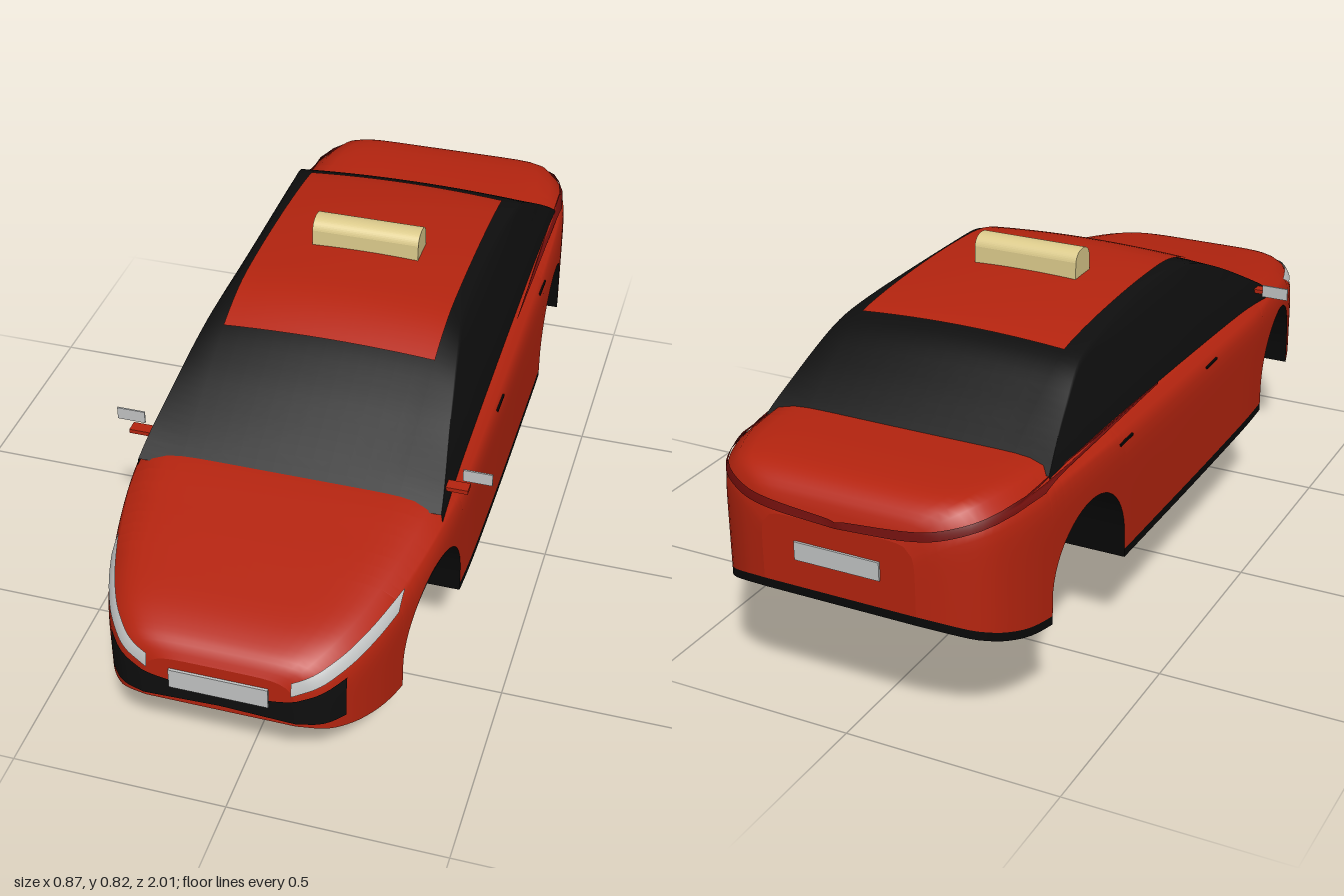
import * as THREE from 'three';

const mat = (name, color) => {
  const m = new THREE.MeshStandardMaterial({ color, side: THREE.DoubleSide });
  m.name = name;
  return m;
};

// Smooth interpolation through [position, value] pairs
function curve(p) {
  const slope = (i) => {
    const a = p[Math.max(i - 1, 0)], b = p[Math.min(i + 1, p.length - 1)];
    return (b[1] - a[1]) / (b[0] - a[0]);
  };
  return (v) => {
    if (v <= p[0][0]) return p[0][1];
    if (v >= p[p.length - 1][0]) return p[p.length - 1][1];
    let i = 0;
    while (p[i + 1][0] < v) i++;
    const d = p[i + 1][0] - p[i][0], t = (v - p[i][0]) / d, u = 1 - t;
    return p[i][1] * u * u * (1 + 2 * t) + slope(i) * d * t * u * u
      + p[i + 1][1] * t * t * (3 - 2 * t) - slope(i + 1) * d * t * t * u;
  };
}

// Body rules along z: half width, top line, floor line
const width = curve([[-1, 0.18], [-0.985, 0.235], [-0.95, 0.295], [-0.9, 0.33], [-0.8, 0.358], [-0.6, 0.376], [-0.2, 0.381],
  [0.2, 0.381], [0.4, 0.377], [0.6, 0.36], [0.8, 0.318], [0.9, 0.28], [0.96, 0.24], [0.985, 0.21], [1, 0.165]]);
const top = curve([[-1, 0.49], [-0.985, 0.535], [-0.95, 0.565], [-0.9, 0.577], [-0.8, 0.581], [-0.6, 0.576], [0, 0.56],
  [0.5, 0.542], [0.65, 0.523], [0.8, 0.5], [0.9, 0.482], [0.96, 0.462], [0.985, 0.445], [1, 0.42]]);
const floorLine = curve([[-1, 0.31], [-0.95, 0.28], [-0.85, 0.245], [-0.75, 0.23], [-0.7, 0.23],
  [0.7, 0.23], [0.76, 0.23], [0.85, 0.245], [0.95, 0.275], [1, 0.3]]);
const SHOULDER = 0.32, ARCH_R = 0.163, ARCH_Y = 0.286, ARCHES = [0.595, -0.594];

// Superelliptic shoulder, boxier towards the back
const box = (z) => Math.min(1, Math.max(0, (1 - z) / 0.6));
const powers = (z) => [6 + 4 * box(z), 4 + 4 * box(z)];
function halfWidth(z, y) {
  const [a, b] = powers(z), t = Math.max(0, (y - SHOULDER) / (top(z) - SHOULDER));
  return t >= 1 ? 0 : width(z) * Math.pow(1 - Math.pow(t, b), 1 / a);
}
function topAt(z, x) {
  const [a, b] = powers(z), t = Math.min(1, Math.abs(x) / width(z));
  return SHOULDER + (top(z) - SHOULDER) * Math.pow(1 - Math.pow(t, a), 1 / b);
}
function lowerEdge(z) {
  let y = floorLine(z);
  for (const c of ARCHES) {
    const d = Math.abs(z - c);
    if (d <= ARCH_R + 1e-6) y = Math.max(y, ARCH_Y + Math.sqrt(Math.max(0, ARCH_R ** 2 - d * d)));
  }
  return y;
}
const paintEdge = (z) => Math.max(lowerEdge(z), floorLine(z) + (z > 0.75 ? 0 : 0.02));

// Surface through equal-length rows of [x, y, z]
function grid(rows, flat = false) {
  const n = rows[0].length, index = [];
  for (let i = 0; i < rows.length - 1; i++) {
    for (let j = 0; j < n - 1; j++) {
      const a = i * n + j, b = a + n;
      index.push(a, a + 1, b, a + 1, b + 1, b);
    }
  }
  let g = new THREE.BufferGeometry();
  g.setAttribute('position', new THREE.Float32BufferAttribute(rows.flat(2), 3));
  g.setIndex(index);
  if (flat) g = g.toNonIndexed();
  g.computeVertexNormals();
  return g;
}
const mirrored = (half) => [...half, ...half.slice(0, -1).reverse().map(([x, y, z]) => [-x, y, z])];
const steps = (n, a, b) => Array.from({ length: n + 1 }, (_, i) => a + (b - a) * i / n);

function bodySection(z) {
  const y0 = paintEdge(z), y1 = SHOULDER + (top(z) - SHOULDER) * 0.85, x1 = halfWidth(z, y1);
  const side = steps(10, y0, y1).map((y) => [halfWidth(z, y), y, z]);
  const lid = steps(10, x1, 0).slice(1).map((x) => [x, topAt(z, x), z]);
  return mirrored([...side, ...lid]);
}

// Floor, wheel wells and sills in one section
function floorSection(z) {
  const w = width(z), xi = Math.min(0.2, w * 0.9), f = floorLine(z), e = lowerEdge(z), p = paintEdge(z);
  const half = [[w, p, z], [halfWidth(z, e), e, z], [xi, e, z], [xi, f, z]];
  return [...half.map(([x, y]) => [-x, y, z]), ...half.reverse()];
}

// Cabin rules
const roofLine = curve([[-0.73, 0.557], [-0.69, 0.59], [-0.6, 0.656], [-0.5, 0.717], [-0.4, 0.738], [-0.2, 0.752],
  [0, 0.753], [0.1, 0.744], [0.2, 0.712], [0.3, 0.663], [0.4, 0.606], [0.5, 0.546], [0.53, 0.528]]);
const cabinWidth = curve([[0.46, 0.36], [0.55, 0.344], [0.62, 0.322], [0.68, 0.302], [0.72, 0.283], [0.745, 0.258]]);
const lift = (z) => Math.min(1, Math.max(0, (roofLine(z) - 0.56) / 0.19));
const roofAt = (z, x) => roofLine(z) - 0.012 * lift(z) * (x / 0.25) ** 2;
function cabinSection(z) {
  const t = roofLine(z), yc = t - 0.032 * lift(z), ym = t - 0.018 * lift(z);
  const side = steps(8, top(z) - 0.06, yc).map((y) => [cabinWidth(y), y, z]);
  const lid = steps(6, 0.25, 0).map((x) => [x, roofAt(z, x), z]);
  return mirrored([...side, [cabinWidth(ym), ym, z], ...lid]);
}

// Thin plate laid on the nose (dir 1) or tail (dir -1), between two height curves
function decal(dir, xa, xb, low, high) {
  const zAt = (x, y) => {
    let a = 0.2, b = 1;
    if (Math.abs(x) <= halfWidth(dir, y)) return dir;
    for (let k = 0; k < 30; k++) {
      const m = (a + b) / 2;
      if (Math.abs(x) <= halfWidth(dir * m, y)) a = m; else b = m;
    }
    return dir * a;
  };
  const xs = dir > 0 ? steps(40, xb, xa) : steps(40, xa, xb);
  return grid(xs.map((x) => steps(8, low(Math.abs(x)), high(Math.abs(x)))
    .map((y) => [x * 1.01, y, zAt(x, y) + dir * 0.003])));
}

export function createModel() {
  const car = new THREE.Group();
  car.name = 'car';
  const red = mat('red paint', 0xb5240f), glass = mat('black glass', 0x0e0e0e), black = mat('black rubber', 0x080808);
  const silver = mat('silver', 0xc2c4c4), tail = mat('dark red lamp', 0x6e0d0a), cream = mat('cream', 0xdccb8c);
  const add = (name, geo, material, x = 0, y = 0, z = 0, parent = car) => {
    const m = new THREE.Mesh(geo, material);
    m.name = name;
    m.position.set(x, y, z);
    parent.add(m);
    return m;
  };

  // Body shell, with extra sections around the wheel arches
  const zs = steps(80, -Math.PI / 2, Math.PI / 2).map(Math.sin);
  for (const c of ARCHES) {
    for (const a of steps(24, 0, Math.PI)) zs.push(c + ARCH_R * Math.cos(a));
    zs.push(c + ARCH_R + 0.0005, c - ARCH_R - 0.0005);
  }
  zs.sort((a, b) => a - b);
  add('bodyShell', grid(zs.map(bodySection)), red);
  add('underbody', grid(zs.map(floorSection), true), black);
  for (const z of [-1, 1]) {
    const cap = (section) => {
      const rim = section(z), mid = rim.map(() => [0, paintEdge(z), z]);
      return grid(z > 0 ? [rim, mid] : [mid, rim], true);
    };
    add(z > 0 ? 'noseCap' : 'tailCap', cap(bodySection), red);
    add('lowerCap', cap(floorSection), black);
  }

  // Cabin and painted roof
  add('cabinGlass', grid(steps(60, -0.73, 0.53).map(cabinSection)), glass);
  add('roofPanel', grid(steps(40, -0.47, 0.215).map((z) => steps(12, 0.25, -0.25).map((x) => [x, roofAt(z, x) + 0.004, z]))), red);

  // Nose and tail details
  add('grille', decal(1, -0.255, 0.255, curve([[0, 0.316], [0.255, 0.306]]),
    curve([[0, 0.36], [0.13, 0.365], [0.255, 0.408]])), glass);
  const lampLow = curve([[0.155, 0.386], [0.2, 0.405], [0.32, 0.456]]);
  const lampHigh = curve([[0.152, 0.418], [0.315, 0.482]]);
  add('leftHeadlight', decal(1, 0.155, 0.318, lampLow, lampHigh), silver);
  add('rightHeadlight', decal(1, -0.318, -0.155, lampLow, lampHigh), silver);
  add('tailLight', decal(-1, -0.352, 0.352, curve([[0, 0.488], [0.2, 0.502], [0.352, 0.54]]),
    curve([[0, 0.503], [0.2, 0.522], [0.352, 0.56]])), tail);
  add('frontPlate', new THREE.BoxGeometry(0.216, 0.049, 0.006), silver, 0, 0.368, 1.003);
  add('rearPlate', new THREE.BoxGeometry(0.2, 0.042, 0.006), silver, 0, 0.415, -1.002);

  // Mirrors and door handles
  for (const s of [1, -1]) {
    const side = s > 0 ? 'left' : 'right';
    add(side + 'Mirror', new THREE.BoxGeometry(0.066, 0.03, 0.004), silver, s * 0.404, 0.562, 0.425);
    add(side + 'MirrorArm', new THREE.BoxGeometry(0.05, 0.01, 0.028), red, s * 0.367, 0.551, 0.455);
    for (const [z, y] of [[0.07, 0.503], [-0.42, 0.513]]) {
      add(side + 'DoorHandle', new THREE.BoxGeometry(0.006, 0.005, 0.065), black, s * halfWidth(z, y), y, z);
    }
  }

  // Roof sign with a rounded top
  const sign = new THREE.Shape();
  sign.moveTo(-0.038, 0);
  sign.lineTo(0.038, 0);
  sign.lineTo(0.036, 0.045);
  sign.quadraticCurveTo(0.03, 0.07, 0, 0.07);
  sign.quadraticCurveTo(-0.03, 0.07, -0.036, 0.045);
  const signGeo = new THREE.ExtrudeGeometry(sign, { depth: 0.26, bevelEnabled: false });
  signGeo.translate(0, 0, -0.13).rotateY(Math.PI / 2);
  add('roofSign', signGeo, cream, 0, 0.748, -0.127);

  // Single wheel under the middle
  const wheel = new THREE.Group();
  wheel.name = 'wheel';
  wheel.position.y = 0.139;
  car.add(wheel);
  const tread = [[0.094, -0.04], [0.1, -0.05], [0.122, -0.053], [0.134, -0.048], [0.139, -0.036]];
  for (const g of [-0.022, 0, 0.022]) tread.push([0.139, g - 0.004], [0.134, g - 0.003], [0.134, g + 0.003], [0.139, g + 0.004]);
  tread.push(...tread.slice(0, 5).reverse().map(([r, h]) => [r, -h]));
  const turned = (g) => g.rotateZ(Math.PI / 2);
  add('tyre', turned(new THREE.LatheGeometry(tread.map(([r, h]) => new THREE.Vector2(r, h)), 48)), black, 0, 0, 0, wheel);
  add('rim', turned(new THREE.CylinderGeometry(0.095, 0.095, 0.074, 48)), silver, 0, 0, 0, wheel);
  for (const s of [1, -1]) {
    add('rimLip', new THREE.TorusGeometry(0.092, 0.006, 8, 48).rotateY(Math.PI / 2), silver, s * 0.04, 0, 0, wheel);
    add('hubGroove', turned(new THREE.CylinderGeometry(0.033, 0.033, 0.004, 32)), black, s * 0.037, 0, 0, wheel);
    add('hub', turned(new THREE.CylinderGeometry(0.029, 0.029, 0.012, 32)), silver, s * 0.037, 0, 0, wheel);
    add('rimSlot', new THREE.BoxGeometry(0.006, 0.03, 0.065), black, s * 0.037, 0.063, -0.013, wheel);
  }
  return car;
}
